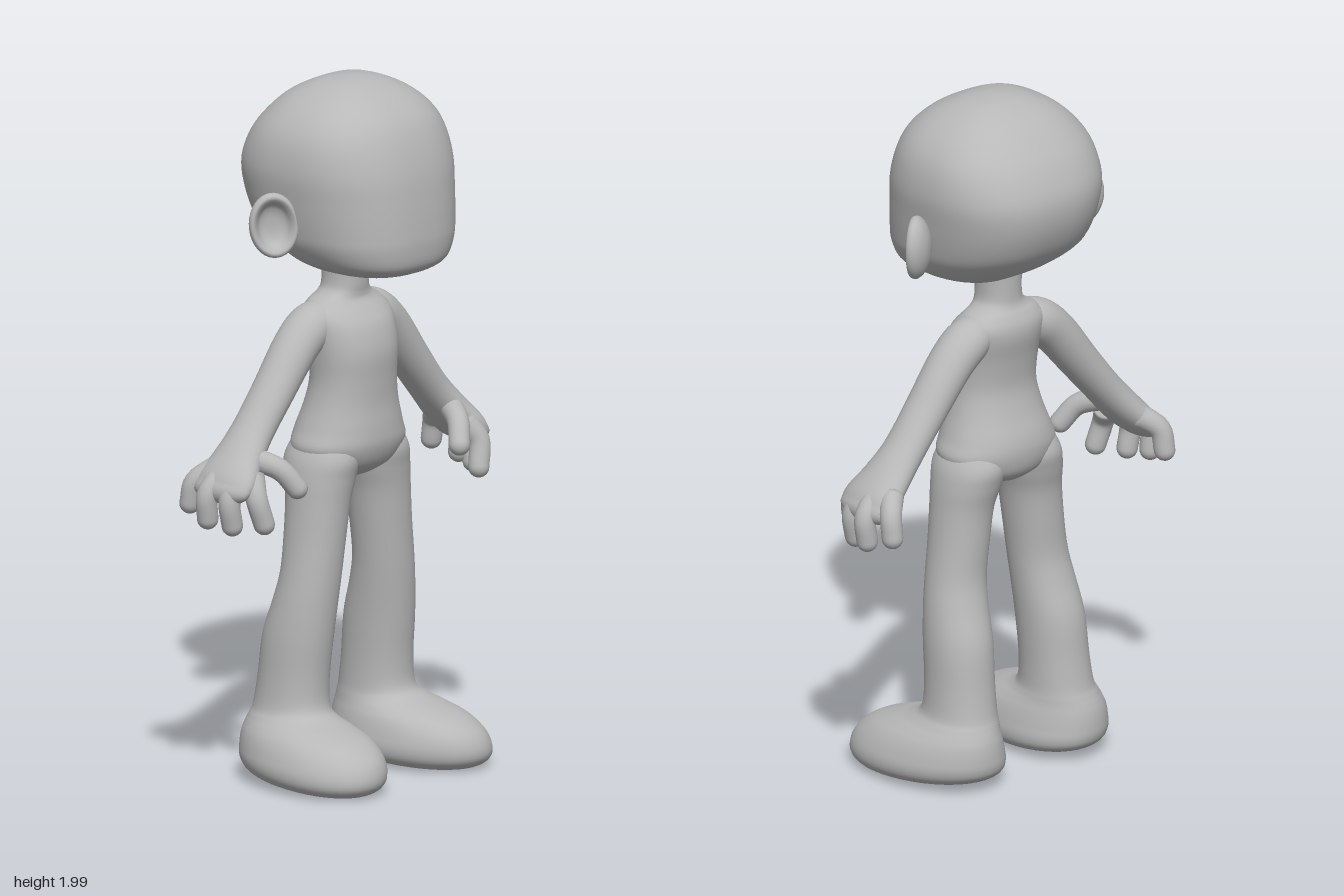
import * as THREE from 'three';

const skin = new THREE.MeshStandardMaterial({ color: 0xb8b8b8 });
skin.name = 'plain grey';

// Smooth closed skin over sections [x, y, z, radiusAcross, radiusDepth, squareness = 2].
// level: keep rings horizontal; roundEnd: add a domed tip.
function loft(name, sections, { level = false, roundEnd = false, sides = 32, steps = 5, deform } = {}) {
  const path = new THREE.CatmullRomCurve3(sections.map(s => new THREE.Vector3(s[0], s[1], s[2])), false, 'catmullrom');
  const size = new THREE.CatmullRomCurve3(sections.map(s => new THREE.Vector3(s[3], s[4], s[5] ?? 2)), false, 'catmullrom');
  const count = (sections.length - 1) * steps;
  const rings = [];
  for (let i = 0; i <= count; i++) {
    const t = i / count, s = size.getPoint(t);
    const dir = level ? new THREE.Vector3(0, Math.sign(sections.at(-1)[1] - sections[0][1]), 0) : path.getTangent(t);
    rings.push({ c: path.getPoint(t), dir, a: Math.max(s.x, 0.0005), b: Math.max(s.y, 0.0005), e: s.z });
  }
  if (roundEnd) {
    const last = rings.at(-1), r = Math.min(last.a, last.b);
    for (let k = 1; k <= 6; k++) {
      const q = k / 6 * Math.PI / 2, f = Math.max(Math.cos(q), 0.01);
      rings.push({ ...last, c: last.c.clone().addScaledVector(last.dir, r * Math.sin(q)), a: last.a * f, b: last.b * f });
    }
  }
  const pos = [], index = [];
  const put = p => { if (deform) deform(p); pos.push(p.x, p.y, p.z); };
  for (const { c, dir, a, b, e } of rings) {
    const v = new THREE.Vector3(0, 0, 1).addScaledVector(dir, -dir.z).normalize();
    const u = new THREE.Vector3().crossVectors(v, dir);
    for (let j = 0; j < sides; j++) {
      const q = j / sides * Math.PI * 2, cu = Math.cos(q), sv = Math.sin(q);
      put(c.clone()
        .addScaledVector(u, a * Math.sign(cu) * Math.abs(cu) ** (2 / e))
        .addScaledVector(v, b * Math.sign(sv) * Math.abs(sv) ** (2 / e)));
    }
  }
  for (let i = 0; i < rings.length - 1; i++) for (let j = 0; j < sides; j++) {
    const a = i * sides + j, b = i * sides + (j + 1) % sides;
    index.push(a, b, a + sides, b, b + sides, a + sides);
  }
  // end caps
  const first = pos.length / 3, top = (rings.length - 1) * sides;
  put(rings[0].c.clone());
  put(rings.at(-1).c.clone());
  for (let j = 0; j < sides; j++) {
    const k = (j + 1) % sides;
    index.push(first, k, j, first + 1, top + j, top + k);
  }
  const geo = new THREE.BufferGeometry();
  geo.setAttribute('position', new THREE.Float32BufferAttribute(pos, 3));
  geo.setIndex(index);
  geo.computeVertexNormals();
  const mesh = new THREE.Mesh(geo, skin);
  mesh.name = name;
  return mesh;
}

function makeHead() {
  // y, front z, back z, half width
  const rows = [
    [1.445, 0.06, 0.06, 0], [1.45, 0.14, -0.03, 0.07], [1.46, 0.215, -0.06, 0.125], [1.475, 0.257, -0.09, 0.168],
    [1.5, 0.28, -0.135, 0.207], [1.55, 0.288, -0.205, 0.24], [1.6, 0.287, -0.25, 0.254], [1.68, 0.28, -0.283, 0.267],
    [1.76, 0.268, -0.288, 0.275], [1.84, 0.243, -0.256, 0.262], [1.9, 0.21, -0.21, 0.228], [1.95, 0.155, -0.155, 0.172],
    [1.985, 0.085, -0.085, 0.1], [1.997, 0.035, -0.035, 0.04], [2, 0, 0, 0]];
  return loft('head', rows.map(([y, f, b, w]) => [0, y, (f + b) / 2, w, (f - b) / 2, 2.45]), { level: true, sides: 56 });
}

function makeTorso() {
  const rows = [
    [0.855, 0.03, -0.06, 0.02], [0.87, 0.065, -0.095, 0.07], [0.9, 0.1, -0.125, 0.15], [0.95, 0.12, -0.137, 0.183],
    [1.0, 0.121, -0.132, 0.167], [1.07, 0.115, -0.108, 0.145], [1.14, 0.116, -0.093, 0.134], [1.22, 0.118, -0.1, 0.138],
    [1.29, 0.1, -0.114, 0.145], [1.33, 0.073, -0.113, 0.143], [1.36, 0.047, -0.1, 0.115], [1.38, 0.043, -0.088, 0.08],
    [1.41, 0.045, -0.083, 0.064], [1.5, 0.046, -0.084, 0.064]];
  return loft('torsoAndNeck', rows.map(([y, f, b, w]) => [0, y, (f + b) / 2, w, (f - b) / 2, 2.2]), { level: true, sides: 40 });
}

// Leg running straight into a soft rounded foot
function makeLeg(s) {
  // y, centre x, half width, front z, back z
  const rows = [
    [0.002, 0.2, 0.1, 0.2, -0.11], [0.01, 0.2, 0.135, 0.255, -0.165], [0.035, 0.2, 0.155, 0.288, -0.193],
    [0.07, 0.2, 0.16, 0.292, -0.203], [0.11, 0.199, 0.152, 0.272, -0.203], [0.145, 0.196, 0.138, 0.225, -0.198],
    [0.17, 0.191, 0.121, 0.155, -0.19], [0.19, 0.185, 0.107, 0.092, -0.182], [0.22, 0.178, 0.095, 0.056, -0.172],
    [0.3, 0.174, 0.09, 0.051, -0.16], [0.42, 0.169, 0.09, 0.062, -0.146], [0.52, 0.16, 0.087, 0.07, -0.115],
    [0.6, 0.15, 0.084, 0.075, -0.097], [0.7, 0.137, 0.083, 0.08, -0.097], [0.8, 0.125, 0.085, 0.086, -0.102],
    [0.87, 0.112, 0.092, 0.094, -0.118], [0.93, 0.1, 0.09, 0.1, -0.125], [1.0, 0.09, 0.06, 0.07, -0.09]];
  return loft('legAndFoot', rows.map(([y, x, w, f, b]) => [s * x, y, (f + b) / 2, w, (f - b) / 2, 2.1]), {
    level: true, sides: 40,
    deform: p => {
      const low = Math.max(0, 1 - p.y / 0.22);
      p.x += s * p.z * 0.1 * low;                                        // toes turn out
      p.y += (0.3 - p.z) * 0.06 * Math.max(0, 1 - p.y / 0.1);            // heel lifts slightly
    },
  });
}

function makeArm(s) {
  const group = new THREE.Group();
  group.name = s > 0 ? 'leftArm' : 'rightArm';
  const side = rows => rows.map(([x, ...rest]) => [s * x, ...rest]);
  group.add(loft('armAndPalm', side([
    [0.06, 1.32, -0.03, 0.04, 0.05], [0.12, 1.3, -0.032, 0.062, 0.067], [0.19, 1.245, -0.034, 0.063, 0.066],
    [0.285, 1.13, -0.036, 0.056, 0.064], [0.365, 1.035, -0.038, 0.051, 0.066], [0.425, 0.97, -0.036, 0.05, 0.08],
    [0.475, 0.92, -0.033, 0.046, 0.1], [0.5, 0.893, -0.033, 0.038, 0.1]]), { roundEnd: true }));
  // base, knuckle, tip of each finger
  const fingers = {
    indexFinger: [[0.44, 0.93, 0.03], [0.463, 0.875, 0.066], [0.447, 0.803, 0.08]],
    middleFinger: [[0.475, 0.93, 0], [0.512, 0.87, 0.008], [0.502, 0.798, 0.01]],
    ringFinger: [[0.48, 0.93, -0.05], [0.527, 0.88, -0.06], [0.523, 0.81, -0.063]],
    littleFinger: [[0.455, 0.94, -0.09], [0.497, 0.9, -0.133], [0.503, 0.838, -0.147]],
    thumb: [[0.415, 0.975, 0], [0.372, 0.945, 0.07], [0.338, 0.89, 0.105]],
  };
  for (const [name, [a, b, c]] of Object.entries(fingers))
    group.add(loft(name, side([[...a, 0.034, 0.034], [...b, 0.031, 0.031], [...c, 0.03, 0.03]]), { roundEnd: true, sides: 18 }));
  return group;
}

// Cupped ear, flaring outwards from the head
function makeEar(s) {
  const profile = new THREE.SplineCurve([
    [0, -1], [0.4, -0.9], [0.78, -0.5], [0.98, 0.05], [0.97, 0.5], [0.86, 0.68],
    [0.72, 0.45], [0.55, -0.05], [0.3, -0.3], [0, -0.35]].map(p => new THREE.Vector2(...p)));
  const points = profile.getPoints(36);
  points.forEach(p => { p.x = Math.max(p.x, 0); });
  const ear = new THREE.Mesh(new THREE.LatheGeometry(points, 36), skin);
  ear.name = s > 0 ? 'leftEar' : 'rightEar';
  ear.scale.set(0.071, 0.034, 0.094);
  ear.rotation.set(Math.PI / 2, s * 0.62, -s * 0.12, 'YZX');
  ear.position.set(s * 0.296, 1.617, -0.022);
  return ear;
}

export function createModel() {
  const model = new THREE.Group();
  model.name = 'cartoonFigure';
  model.add(makeHead(), makeTorso());
  for (const s of [1, -1]) model.add(makeLeg(s), makeArm(s), makeEar(s));
  return model;
}
